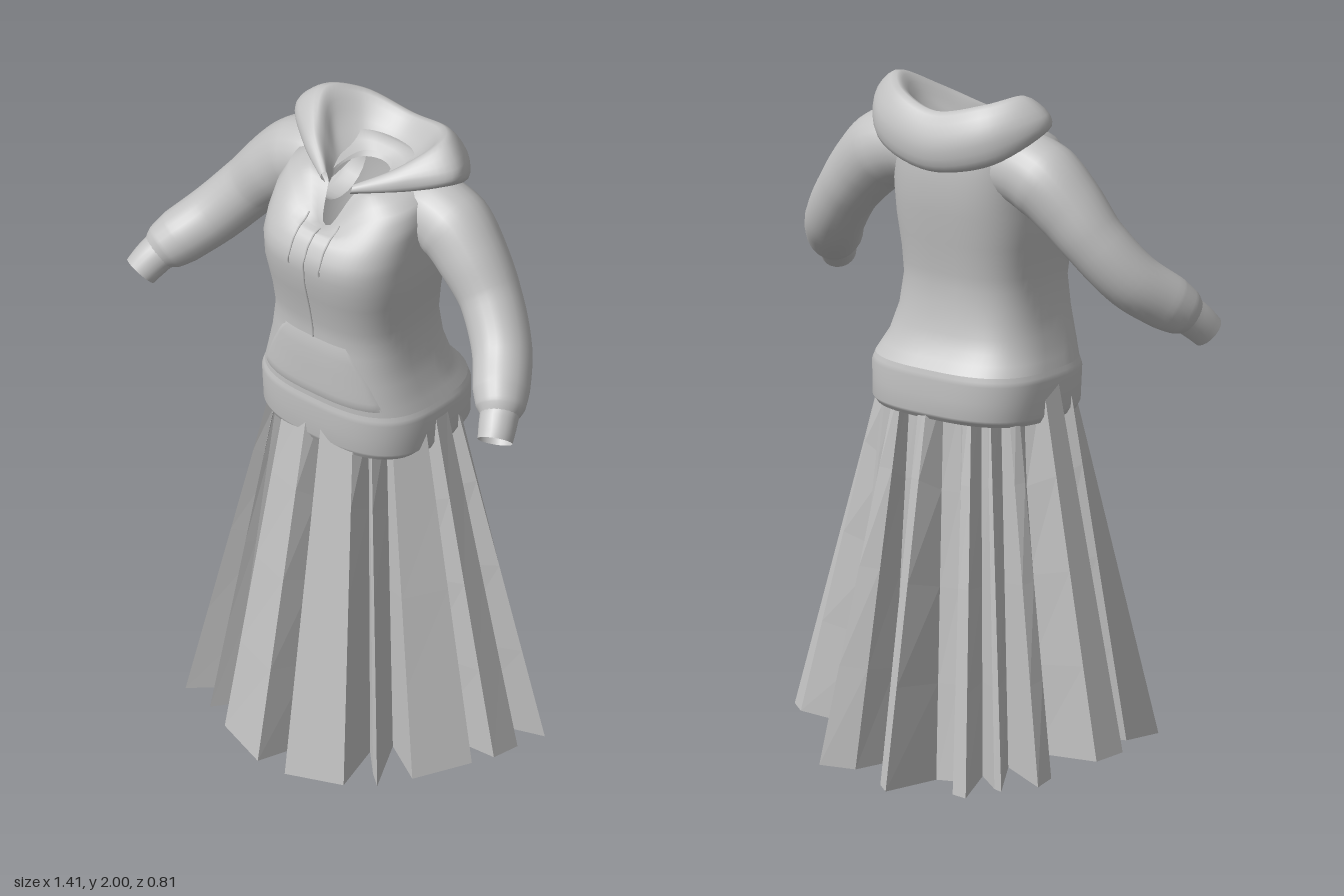
import * as THREE from 'three';

const V = (x, y, z) => new THREE.Vector3(x, y, z);
const cloth = new THREE.MeshStandardMaterial({ color: 0xc2c2c2, side: THREE.DoubleSide });
cloth.name = 'greyCloth';

// Skin a list of cross-sections (each a list of points)
function loft(rows, closed, flat = false) {
  const n = rows[0].length, pos = [], idx = [];
  rows.forEach(r => r.forEach(p => pos.push(p.x, p.y, p.z)));
  for (let i = 0; i < rows.length - 1; i++) {
    for (let j = 0; j < (closed ? n : n - 1); j++) {
      const k = (j + 1) % n;
      const a = i * n + j, b = i * n + k, c = a + n, d = b + n;
      idx.push(a, c, b, b, c, d);
    }
  }
  let g = new THREE.BufferGeometry();
  g.setAttribute('position', new THREE.Float32BufferAttribute(pos, 3));
  g.setIndex(idx);
  if (flat) g = g.toNonIndexed();
  g.computeVertexNormals();
  return g;
}

// Torso rows: front height, back height, half width, front z, back z, neck notch depth
const BODY = [
  [1.05, 1.05, .275, .215, -.225, 0], [1.07, 1.07, .285, .225, -.24, 0],
  [1.17, 1.17, .288, .23, -.24, 0], [1.195, 1.195, .278, .226, -.234, 0],
  [1.25, 1.25, .256, .228, -.188, 0], [1.33, 1.33, .232, .228, -.165, 0],
  [1.42, 1.42, .22, .224, -.155, 0], [1.5, 1.5, .225, .238, -.163, 0],
  [1.6, 1.6, .238, .262, -.178, 0], [1.67, 1.68, .24, .268, -.188, 0],
  [1.72, 1.76, .24, .245, -.19, 0], [1.77, 1.83, .238, .205, -.182, .025],
  [1.82, 1.88, .22, .16, -.16, .07], [1.86, 1.9, .15, .125, -.11, .11],
  [1.85, 1.87, .07, .11, -.07, .1],
];
const EXPONENT = 0.7;
const bodyRow = v => {
  const i = Math.min(Math.floor(v), BODY.length - 2);
  return BODY[i].map((q, k) => THREE.MathUtils.lerp(q, BODY[i + 1][k], v - i));
};

// Point on the torso at row v and angle a, pushed out by a scale factor
function onBody(v, a, grow = 1) {
  const [yf, yb, w, zf, zb, notch] = bodyRow(v);
  const sq = q => Math.sign(q) * Math.pow(Math.abs(q), EXPONENT);
  const s = Math.sin(a), mid = (zf + zb) / 2;
  const cut = notch * Math.pow(Math.max(0, s), 12);
  return V(w * sq(Math.cos(a)) * grow, yb + (yf - yb) * (1 + s) / 2 - cut,
    mid + (zf - zb) / 2 * sq(s) * grow + cut * 0.6);
}

function bodyRows(from, to, step) {
  const rows = [], N = 64;
  for (let v = from; v <= to + 1e-6; v += step) {
    rows.push(Array.from({ length: N }, (_, j) => onBody(v, j / N * Math.PI * 2)));
  }
  return rows;
}

// Sleeve pieces: stations are [x, y, z, radius]; s mirrors
function sleeve(stations, s, steps) {
  const path = new THREE.CatmullRomCurve3(stations.map(p => V(p[0], p[1], p[2])));
  const rows = [], N = 24;
  for (let i = 0; i <= steps; i++) {
    const t = i / steps, f = t * (stations.length - 1);
    const k = Math.min(Math.floor(f), stations.length - 2);
    const r = THREE.MathUtils.lerp(stations[k][3], stations[k + 1][3], f - k);
    const p = path.getPoint(t), d = path.getTangent(t);
    const n1 = V(0, 0, 1).cross(d).normalize(), n2 = d.clone().cross(n1);
    rows.push(Array.from({ length: N }, (_, j) => {
      const a = -s * j / N * Math.PI * 2;
      const q = p.clone().addScaledVector(n1, r * Math.cos(a)).addScaledVector(n2, r * Math.sin(a));
      q.x *= s;
      return q;
    }));
  }
  return loft(rows, true);
}

// Hood rings from outer base over the rim down to the neck;
// each runs front, front side, side, back side, back
const HOOD = [
  [[.045, 1.85, .12], [.15, 1.865, .05], [.24, 1.875, -.04], [.16, 1.8, -.16], [0, 1.77, -.175]],
  [[.056, 1.865, .128], [.18, 1.89, .058], [.295, 1.912, -.05], [.21, 1.83, -.19], [0, 1.78, -.235]],
  [[.056, 1.877, .122], [.185, 1.925, .046], [.288, 1.95, -.06], [.2, 1.91, -.2], [0, 1.86, -.25]],
  [[.05, 1.879, .112], [.155, 1.942, .03], [.215, 2, -.08], [.15, 1.98, -.165], [0, 1.945, -.2]],
  [[.045, 1.865, .11], [.1, 1.885, .03], [.15, 1.92, -.05], [.1, 1.91, -.12], [0, 1.9, -.145]],
  [[.04, 1.845, .11], [.065, 1.85, .05], [.07, 1.85, 0], [.05, 1.85, -.05], [0, 1.85, -.07]],
];

function hood() {
  const rings = HOOD.map(k => {
    const half = k.map(p => V(...p));
    const other = half.slice(0, 4).map(p => V(-p.x, p.y, p.z));
    const c = new THREE.CatmullRomCurve3([...other, ...half.reverse()]);
    return c.getPoints(56);
  });
  const cols = rings[0].map((_, j) =>
    new THREE.CatmullRomCurve3(rings.map(r => r[j])).getPoints(20));
  return loft(cols[0].map((_, i) => cols.map(c => c[i])), false);
}

// Pleat outline at the hem: [x, z, 1 for an outer fold or 0 for an inner one]
const PLEATS = [
  [0, .25, 0], [.05, .405, 1], [.23, .36, 1], [.19, .2, 0], [.27, .28, 1], [.32, .32, 1],
  [.24, .16, 0], [.39, .25, 1], [.49, .11, 1], [.29, .06, 0], [.52, .05, 1], [.53, -.04, 1],
  [.3, -.05, 0], [.545, -.14, 1], [.5, -.17, 1], [.25, -.14, 0], [.32, -.19, 1], [.29, -.22, 1],
  [.2, -.19, 0], [.27, -.38, 1], [.18, -.33, 1],
  [.14, -.22, 0], [.06, -.37, 1], [.01, -.41, 1], [-.03, -.23, 0], [-.11, -.24, 0],
  [-.19, -.36, 1], [-.26, -.39, 1], [-.18, -.21, 0], [-.3, -.31, 1], [-.34, -.33, 1],
  [-.24, -.17, 0], [-.44, -.29, 1], [-.44, -.23, 1], [-.28, -.1, 0], [-.5, -.1, 1],
  [-.515, 0, 1], [-.3, .04, 0], [-.45, .1, 1], [-.4, .31, 1], [-.24, .17, 0],
  [-.3, .32, 1], [-.26, .27, 1], [-.19, .2, 0], [-.22, .35, 1], [-.05, .405, 1],
];

function skirt() {
  const outline = [...PLEATS].reverse(), rows = [], steps = 4;
  for (let i = 0; i <= steps; i++) {
    rows.push(outline.map(([x, z, out]) => {
      const a = Math.atan2(z / 0.75, x), k = out ? 1.05 : 0.93;
      const c = Math.cos(a), s = Math.sin(a);
      const top = V(.27 * k * c, out ? 1.17 : 1.12, .205 * k * s);
      const low = V(x, .115 * c * c + .035 * Math.max(0, s), z);
      return low.lerp(top, i / steps);
    }));
  }
  return loft(rows, true, true);
}

// Thin cord lying on the torso at a fixed x
function cord(v0, v1, x, r) {
  const pts = Array.from({ length: 16 }, (_, i) => {
    const v = v0 + (v1 - v0) * i / 15;
    const c = Math.pow(Math.abs(x) / bodyRow(v)[2], 1 / EXPONENT);
    return onBody(v, Math.PI / 2 - Math.sign(x) * Math.asin(c), 1.005);
  });
  return new THREE.TubeGeometry(new THREE.CatmullRomCurve3(pts), 40, r, 6);
}

// Front pocket: a patch following the belly, narrower at the top
function pocket() {
  const rows = [];
  for (let i = 0; i <= 10; i++) {
    const t = i / 10, h = 0.8 - 0.42 * t * t;
    const edge = i === 0 || i === 10;
    rows.push(Array.from({ length: 25 }, (_, j) =>
      onBody(3.3 + 2.5 * t, Math.PI / 2 + (j / 12 - 1) * h,
        edge || j === 0 || j === 24 ? 1 : 1.018)));
  }
  return loft(rows, false);
}

export function createModel() {
  const group = new THREE.Group();
  const add = (name, geo) => {
    const m = new THREE.Mesh(geo, cloth);
    m.name = name;
    group.add(m);
  };

  add('skirt', skirt());
  add('waistband', loft(bodyRows(0, 3, 0.5), true));
  add('torso', loft(bodyRows(3, BODY.length - 1, 0.5), true));
  add('pocket', pocket());
  add('hood', hood());
  add('zipper', cord(5.8, 12.8, 0, .003));

  for (const [side, s] of [['left', 1], ['right', -1]]) {
    add(side + 'Sleeve', sleeve([
      [.13, 1.775, -.055, .1], [.21, 1.78, -.055, .108], [.285, 1.755, -.055, .112],
      [.36, 1.69, -.045, .103], [.44, 1.6, -.028, .09], [.53, 1.49, .027, .086],
      [.595, 1.42, .105, .081], [.622, 1.39, .14, .07], [.634, 1.374, .158, .054]], s, 48));
    add(side + 'Cuff', sleeve([
      [.63, 1.38, .152, .056], [.644, 1.355, .178, .054], [.658, 1.325, .205, .05]], s, 4));
    add(side + 'Drawstring', cord(8.7, 12.8, s * .056, .003));
  }
  return group;
}
